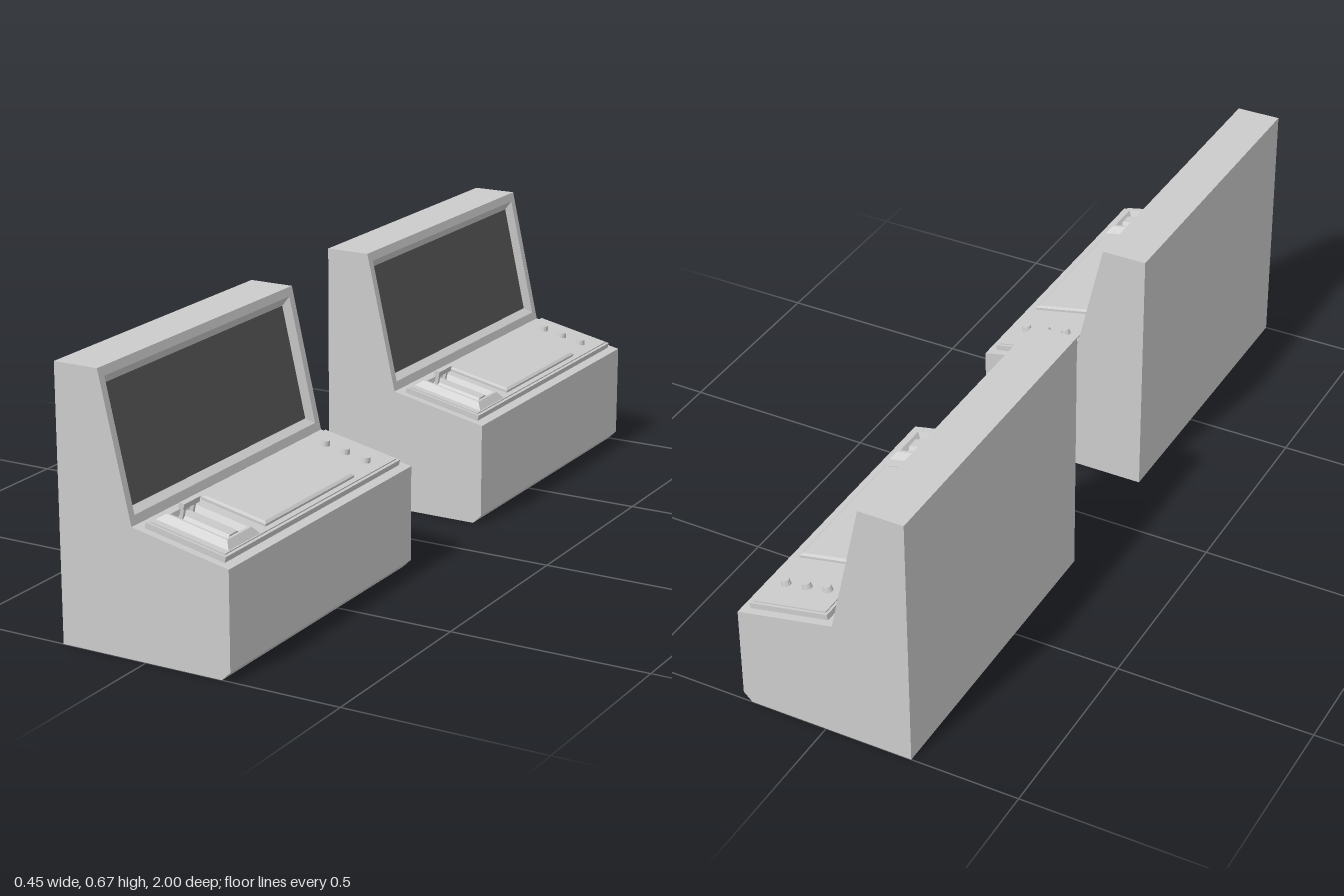
import * as THREE from 'three';

const HALF = 0.408; // half the width of one console
const grey = new THREE.MeshStandardMaterial({ color: 0xcccccc, flatShading: true });
const dark = new THREE.MeshStandardMaterial({ color: 0x555555, flatShading: true });

// Stepped or bevelled rectangular form: rings of [x0, x1, z0, z1, y], last ring capped if wanted
function loft(name, rings, capped = true, material = grey) {
  const corners = rings.map(([x0, x1, z0, z1, y]) =>
    [[x0, y, z1], [x1, y, z1], [x1, y, z0], [x0, y, z0]]);
  const pos = [];
  const quad = (a, b, c, d) => pos.push(...a, ...b, ...c, ...a, ...c, ...d);
  for (let r = 0; r + 1 < corners.length; r++) {
    const A = corners[r], B = corners[r + 1];
    for (let i = 0; i < 4; i++) quad(A[i], A[(i + 1) % 4], B[(i + 1) % 4], B[i]);
  }
  if (capped) quad(...corners[corners.length - 1]);
  const g = new THREE.BufferGeometry();
  g.setAttribute('position', new THREE.Float32BufferAttribute(pos, 3));
  g.computeVertexNormals();
  return named(name, g, material);
}

function named(name, geometry, material = grey) {
  const m = new THREE.Mesh(geometry, material);
  m.name = name;
  return m;
}

function box(name, sx, sy, sz, x, y, z) {
  const m = named(name, new THREE.BoxGeometry(sx, sy, sz));
  m.position.set(x, y, z);
  return m;
}

// Group lying on a slope: its x runs down from point a to point b, its y points outwards
function slope(name, a, b) {
  const g = new THREE.Group();
  g.name = name;
  g.position.set(a[0], a[1], 0);
  g.rotation.z = Math.atan2(b[1] - a[1], b[0] - a[0]);
  return g;
}

function makeCabinet() {
  // Side profile, notched behind the sloping screen surround
  const profile = [[-0.225, 0], [0.2, 0], [0.222, 0.022], [0.222, 0.262], [-0.03, 0.315],
    [-0.069, 0.306], [-0.149, 0.658], [-0.11, 0.667], [-0.225, 0.667]];
  const shape = new THREE.Shape(profile.map(([x, y]) => new THREE.Vector2(x, y)));
  const g = new THREE.ExtrudeGeometry(shape, { depth: 2 * HALF, bevelEnabled: false });
  g.translate(0, 0, -HALF);
  return named('cabinet', g);
}

function makeScreen() {
  const g = slope('screenSection', [-0.11, 0.667], [-0.03, 0.315]);
  const L = Math.hypot(0.08, 0.352);
  const o = HALF - 0.02, s = HALF - 0.036;
  const recess = [0.04, L - 0.039, -s, s, -0.015];
  g.add(loft('screenSurround', [
    [0, L, -HALF, HALF, -0.04],
    [0, L, -HALF, HALF, 0],
    [0.022, L - 0.022, -o, o, 0],
    recess,
  ], false));
  g.add(loft('screen', [recess], true, dark));
  return g;
}

function makeDesk() {
  const g = slope('controlDesk', [-0.03, 0.315], [0.222, 0.262]);
  const w = HALF - 0.02;
  g.add(loft('controlPanel', [
    [0.022, 0.234, -w, w, -0.002],
    [0.022, 0.234, -w, w, 0.014],
    [0.029, 0.227, -w + 0.007, w - 0.007, 0.014],
    [0.029, 0.227, -w + 0.007, w - 0.007, 0.017],
  ]));
  g.add(loft('displayPlate', [
    [0.041, 0.214, -0.2, 0.195, 0.016],
    [0.041, 0.214, -0.2, 0.195, 0.023],
    [0.048, 0.207, -0.193, 0.188, 0.027],
  ]));

  // Push buttons in a row
  for (const u of [0.07, 0.127, 0.185]) {
    const b = named('button', new THREE.CylinderGeometry(0.01, 0.013, 0.014, 12));
    b.position.set(u, 0.023, -0.304);
    g.add(b);
  }

  // Lever housing with sunken channel, centre ridge and T-shaped lever
  g.add(loft('leverHousing', [
    [0.03, 0.225, 0.231, 0.363, 0.016],
    [0.046, 0.208, 0.247, 0.347, 0.032],
    [0.053, 0.202, 0.254, 0.341, 0.032],
    [0.06, 0.196, 0.262, 0.334, 0.018],
  ]));
  g.add(loft('leverRidge', [
    [0.062, 0.194, 0.275, 0.321, 0.018],
    [0.062, 0.194, 0.282, 0.314, 0.028],
  ]));
  for (const z of [0.278, 0.318]) {
    g.add(box('leverArm', 0.009, 0.036, 0.008, 0.07, 0.036, z));
  }
  g.add(box('leverGrip', 0.013, 0.014, 0.066, 0.071, 0.055, 0.298));
  return g;
}

export function createModel() {
  const model = new THREE.Group();
  model.name = 'consolePair';
  for (const z of [0.592, -0.592]) {
    const c = new THREE.Group();
    c.name = 'console';
    c.add(makeCabinet(), makeScreen(), makeDesk());
    c.position.z = z;
    model.add(c);
  }
  return model;
}
